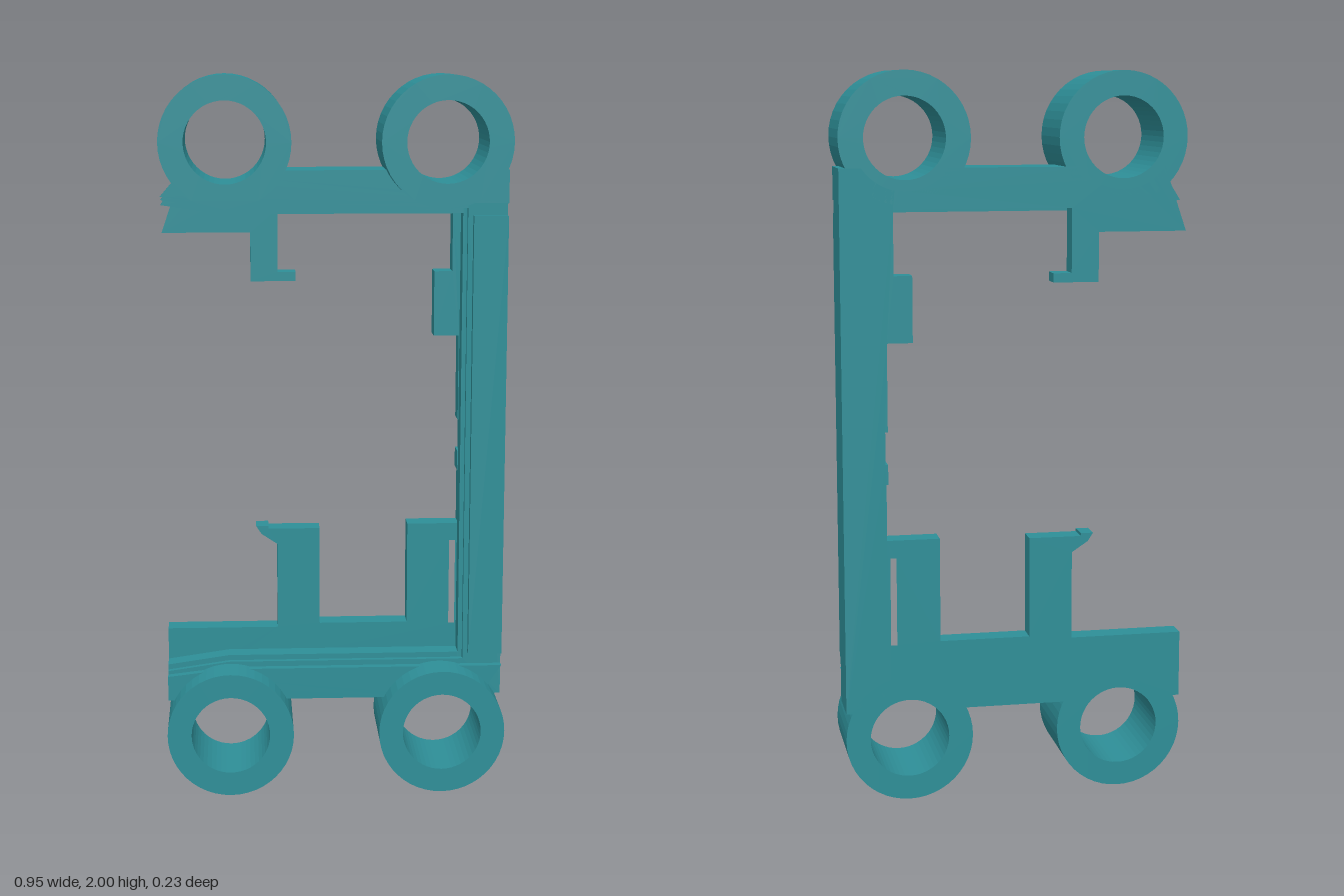
import * as THREE from 'three';

const BACK = -0.117, FRONT = 0.117;
const RING_X = 0.297, RING_R = 0.177, HOLE_R = 0.11;
const TOP = 1.745, BOTTOM = 0.255, SIDE = 0.473;
const RING_YS = [2 - RING_R, RING_R];

// Plate cut from an outline, spanning z0 to z1
function plate(name, shape, z0, z1, material) {
  const geometry = new THREE.ExtrudeGeometry(shape, { depth: z1 - z0, bevelEnabled: false, curveSegments: 24 });
  geometry.translate(0, 0, z0);
  const mesh = new THREE.Mesh(geometry, material);
  mesh.name = name;
  return mesh;
}

// Outer edge of a bar, scooped out where the rings sit so their holes stay open
function barEdge(shape, upper) {
  const r = 0.14;
  const cy = upper ? RING_YS[0] : RING_YS[1];
  const y = upper ? TOP : BOTTOM;
  const a = Math.asin(Math.abs(cy - y) / r);
  const dir = upper ? 1 : -1;
  for (const x of [-RING_X * dir, RING_X * dir]) {
    if (upper) shape.absarc(x, cy, r, Math.PI + a, 2 * Math.PI - a, false);
    else shape.absarc(x, cy, r, a, Math.PI - a, false);
  }
  shape.lineTo(SIDE * dir, y);
}

// C-shaped outline; inner lists the inside edge from lower left to upper left
function cShape(inner) {
  const shape = new THREE.Shape();
  shape.moveTo(-SIDE, TOP);
  barEdge(shape, true);
  shape.lineTo(SIDE, BOTTOM);
  barEdge(shape, false);
  inner.forEach(([x, y]) => shape.lineTo(x, y));
  shape.closePath();
  return shape;
}

function polygon(points) {
  return new THREE.Shape(points.map(([x, y]) => new THREE.Vector2(x, y)));
}

export function createModel() {
  const group = new THREE.Group();
  group.name = 'mountingFrame';
  const teal = new THREE.MeshStandardMaterial({ color: 0x2e8f98 });
  teal.name = 'teal';

  // Thin back plate carrying the clips, hook and stops
  const back = cShape([
    [-SIDE, 0.44], [-0.16, 0.44], [-0.16, 0.685], [-0.205, 0.715], [-0.22, 0.738],
    [-0.185, 0.738], [-0.185, 0.73], [-0.04, 0.73], [-0.04, 0.45], [0.21, 0.45],
    [0.21, 0.74], [0.355, 0.74], [0.355, 0.895], [0.35, 0.895], [0.35, 0.95],
    [0.357, 0.95], [0.357, 1.04], [0.35, 1.04], [0.35, 1.28], [0.28, 1.28],
    [0.28, 1.46], [0.33, 1.46], [0.33, 1.635], [-0.155, 1.635], [-0.155, 1.46],
    [-0.105, 1.46], [-0.105, 1.435], [-0.23, 1.435], [-0.23, 1.57], [-SIDE, 1.57],
  ]);
  back.holes.push(new THREE.Path([[0.33, 0.445], [0.33, 0.69], [0.347, 0.69], [0.347, 0.445]]
    .map(([x, y]) => new THREE.Vector2(x, y))));
  group.add(plate('backPlate', back, BACK, -0.055, teal));

  // Stepped frame body
  const steps = [
    ['frameBody', 0.352, 0.375, -0.055, 0],
    ['frameStep', 0.364, 0.36, 0, 0.015],
  ];
  for (const [name, x, y, z0, z1] of steps) {
    const inner = [[-SIDE, y - 0.025], [-0.3, y], [x, y], [x, 2 - y], [-0.3, 2 - y], [-SIDE, 2.025 - y]];
    group.add(plate(name, cShape(inner), z0, z1, teal));
  }

  // Front lips of the two bars, parted from the post by shallow grooves
  for (const upper of [true, false]) {
    const shape = new THREE.Shape();
    const y = upper ? 1.655 : 0.345;
    const yEnd = upper ? 1.675 : 0.325;
    const dir = upper ? 1 : -1;
    shape.moveTo(-SIDE * dir, upper ? TOP : BOTTOM);
    barEdge(shape, upper);
    const lip = [[SIDE, y], [-0.3, y], [-SIDE, yEnd]];
    (upper ? lip : lip.reverse()).forEach(([px, py]) => shape.lineTo(px, py));
    shape.closePath();
    group.add(plate(upper ? 'upperLip' : 'lowerLip', shape, 0.015, 0.037, teal));
  }
  group.add(plate('postFace', polygon([[0.378, 0.38], [SIDE, 0.38], [SIDE, 1.62], [0.378, 1.62]]), 0.015, 0.037, teal));

  // Four corner rings
  for (const y of RING_YS) {
    for (const x of [-RING_X, RING_X]) {
      const ring = new THREE.Shape();
      ring.absarc(x, y, RING_R, 0, Math.PI * 2, false);
      const hole = new THREE.Path();
      hole.absarc(x, y, HOLE_R, 0, Math.PI * 2, true);
      ring.holes.push(hole);
      group.add(plate((y > 1 ? 'upper' : 'lower') + (x > 0 ? 'Left' : 'Right') + 'Ring', ring, BACK, FRONT, teal));
    }
  }
  return group;
}
